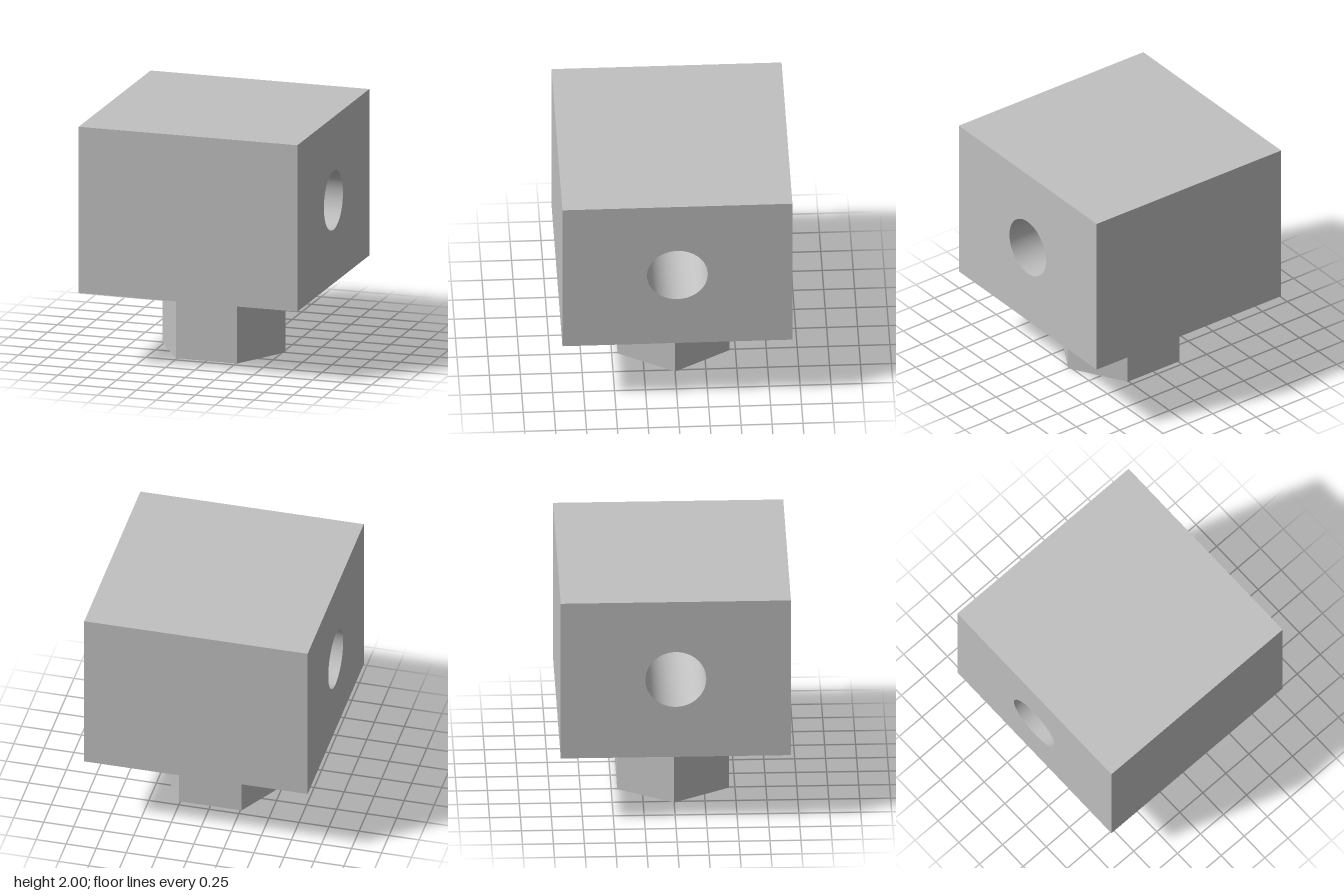
import * as THREE from 'three';
import { toCreasedNormals } from 'three/addons/utils/BufferGeometryUtils.js';

const HALF = 0.93;       // half width of the block
const BASE = 0.61;       // height of the block's underside
const TOP = 2;
const HOLE_RADIUS = 0.246;
const STEM_RADIUS = 0.522;

// Square block with a round hole bored through from side to side
function blockGeometry() {
  const h = (TOP - BASE) / 2;
  const shape = new THREE.Shape([
    new THREE.Vector2(-HALF, -h),
    new THREE.Vector2(HALF, -h),
    new THREE.Vector2(HALF, h),
    new THREE.Vector2(-HALF, h),
  ]);
  const hole = new THREE.Path();
  hole.absarc(0, 0, HOLE_RADIUS, 0, Math.PI * 2, true);
  shape.holes.push(hole);

  const geometry = new THREE.ExtrudeGeometry(shape, {
    depth: HALF * 2,
    bevelEnabled: false,
    curveSegments: 64,
  });
  geometry.translate(0, 0, -HALF);
  geometry.rotateY(Math.PI / 2);
  return toCreasedNormals(geometry, Math.PI / 6);
}

// Hexagonal stem with corners pointing left and right
function stemGeometry() {
  const geometry = new THREE.CylinderGeometry(STEM_RADIUS, STEM_RADIUS, BASE, 6);
  geometry.rotateY(Math.PI / 6);
  return toCreasedNormals(geometry, Math.PI / 6);
}

export function createModel() {
  const grey = new THREE.MeshStandardMaterial({ color: 0xc0c0c0 });
  grey.name = 'light grey';

  const group = new THREE.Group();
  group.name = 'boredBlockOnHexStem';

  const block = new THREE.Mesh(blockGeometry(), grey);
  block.name = 'block';
  block.position.y = (BASE + TOP) / 2;

  const stem = new THREE.Mesh(stemGeometry(), grey);
  stem.name = 'hexStem';
  stem.position.y = BASE / 2;

  group.add(block, stem);
  return group;
}
